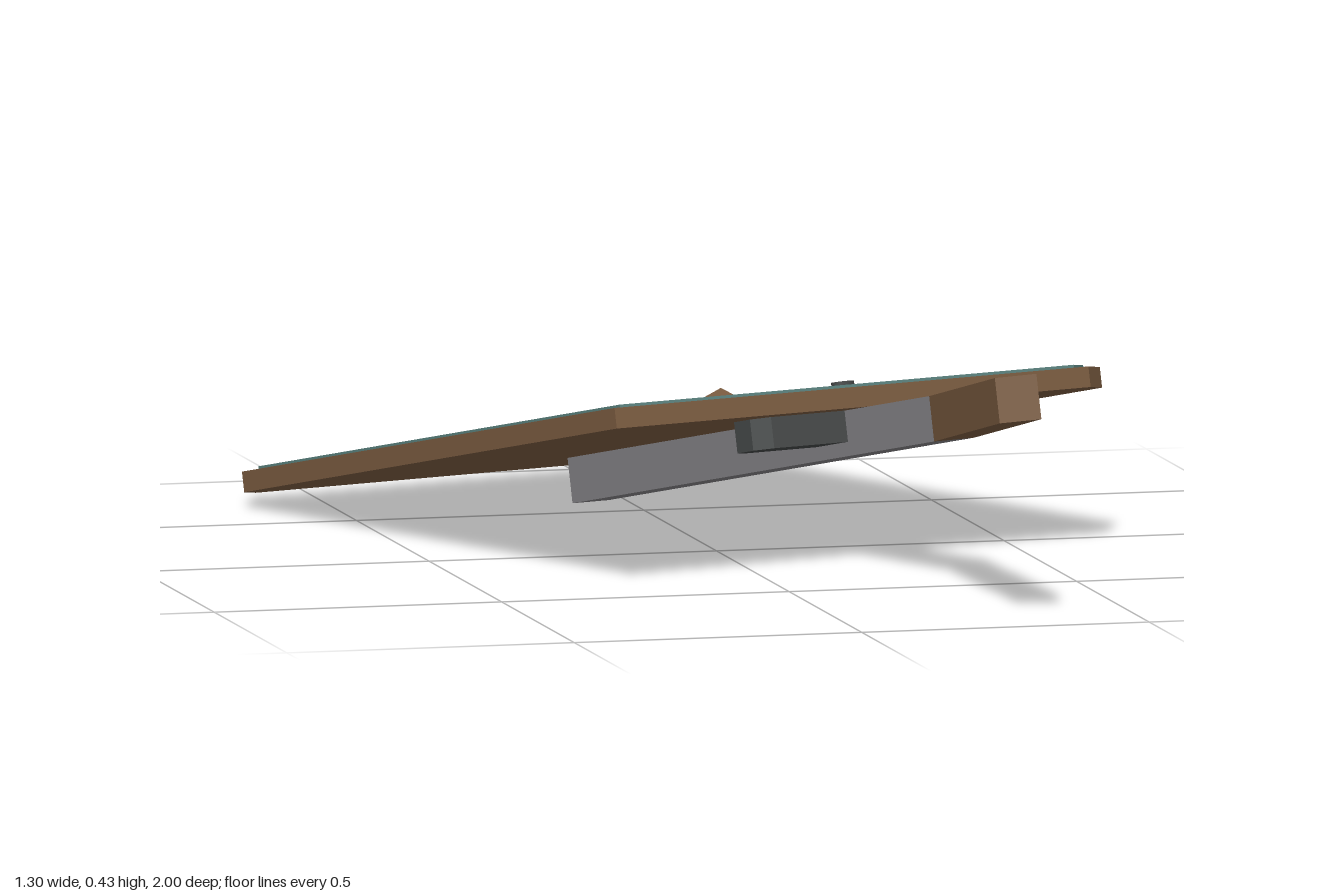
import * as THREE from 'three';
import { ConvexGeometry } from 'three/addons/geometries/ConvexGeometry.js';

const paint = (name, color) => {
  const m = new THREE.MeshStandardMaterial({ color });
  m.name = name;
  return m;
};

export function createModel() {
  const wood = paint('brown wood', 0x7a5b40);
  const slate = paint('teal panel', 0x5a827e);
  const metal = paint('grey metal', 0x828084);
  const iron = paint('dark iron', 0x454848);

  const model = new THREE.Group();
  model.name = 'tiltedBoard';

  // Everything lies in one tilted plane: x across, -z down the slope, y off the surface
  const board = new THREE.Group();
  board.name = 'board';
  board.position.set(-0.288, 0.315, 0.438);
  board.rotation.set(THREE.MathUtils.degToRad(-12), THREE.MathUtils.degToRad(17.6), 0, 'YXZ');
  model.add(board);

  const add = (name, geometry, material) => {
    const mesh = new THREE.Mesh(geometry, material);
    mesh.name = name;
    board.add(mesh);
    return mesh;
  };

  // Flat plate with outline (across, down the slope), between two heights
  const plate = (name, outline, bottom, top, material) => {
    const shape = new THREE.Shape(outline.map(([u, s]) => new THREE.Vector2(u, s)));
    const geometry = new THREE.ExtrudeGeometry(shape, { depth: top - bottom, bevelEnabled: false });
    geometry.rotateX(-Math.PI / 2).translate(0, bottom, 0);
    return add(name, geometry, material);
  };

  // Wooden backing with clipped corners and a notch under the folded corner
  plate('backing', [[0, 0], [0.94, 0], [1.002, 0.065], [1.002, 1.095], [0.87, 1.065],
    [0.805, 1.281], [0.06, 1.281], [0, 1.22]], -0.035, 0, wood);

  // Thin raised panel
  plate('panel', [[0.026, 0.025], [0.927, 0.025], [0.977, 0.077], [0.977, 1.066], [0.852, 1.038],
    [0.785, 1.256], [0.072, 1.256], [0.026, 1.208]], 0, 0.006, slate);

  // Corner folded up to a peak
  add('foldedCorner', new ConvexGeometry([
    new THREE.Vector3(0.87, 0, -1.065), new THREE.Vector3(1.002, 0, -1.095),
    new THREE.Vector3(0.957, 0.07, -1.217), new THREE.Vector3(0.805, 0, -1.281),
  ]), wood);

  // Metal bar underneath, mitred into the wooden handle
  plate('bar', [[0.499, -0.199], [0.571, -0.211], [0.571, 0.985], [0.499, 0.985]], -0.112, -0.035, metal);
  plate('handle', [[0.571, -0.211], [0.499, -0.199], [0.336, -0.683], [0.404, -0.707]], -0.112, -0.035, wood);

  // Clamp across the bar, with clipped corners
  const half = 0.178, depth = 0.052, clip = 0.026;
  const clamp = [[-half, -depth + clip], [-half + clip, -depth], [half - clip, -depth], [half, -depth + clip],
    [half, depth - clip], [half - clip, depth], [-half + clip, depth], [-half, depth - clip]];
  plate('clamp', clamp.map(([u, s]) => [u + 0.505, s + 0.13]), -0.088, -0.035, iron);

  // Bolt heads on the panel
  for (const s of [0.125, 0.937]) {
    add('bolt', new THREE.CylinderGeometry(0.02, 0.02, 0.016, 8), iron).position.set(0.53, 0.008, -s);
  }

  return model;
}
